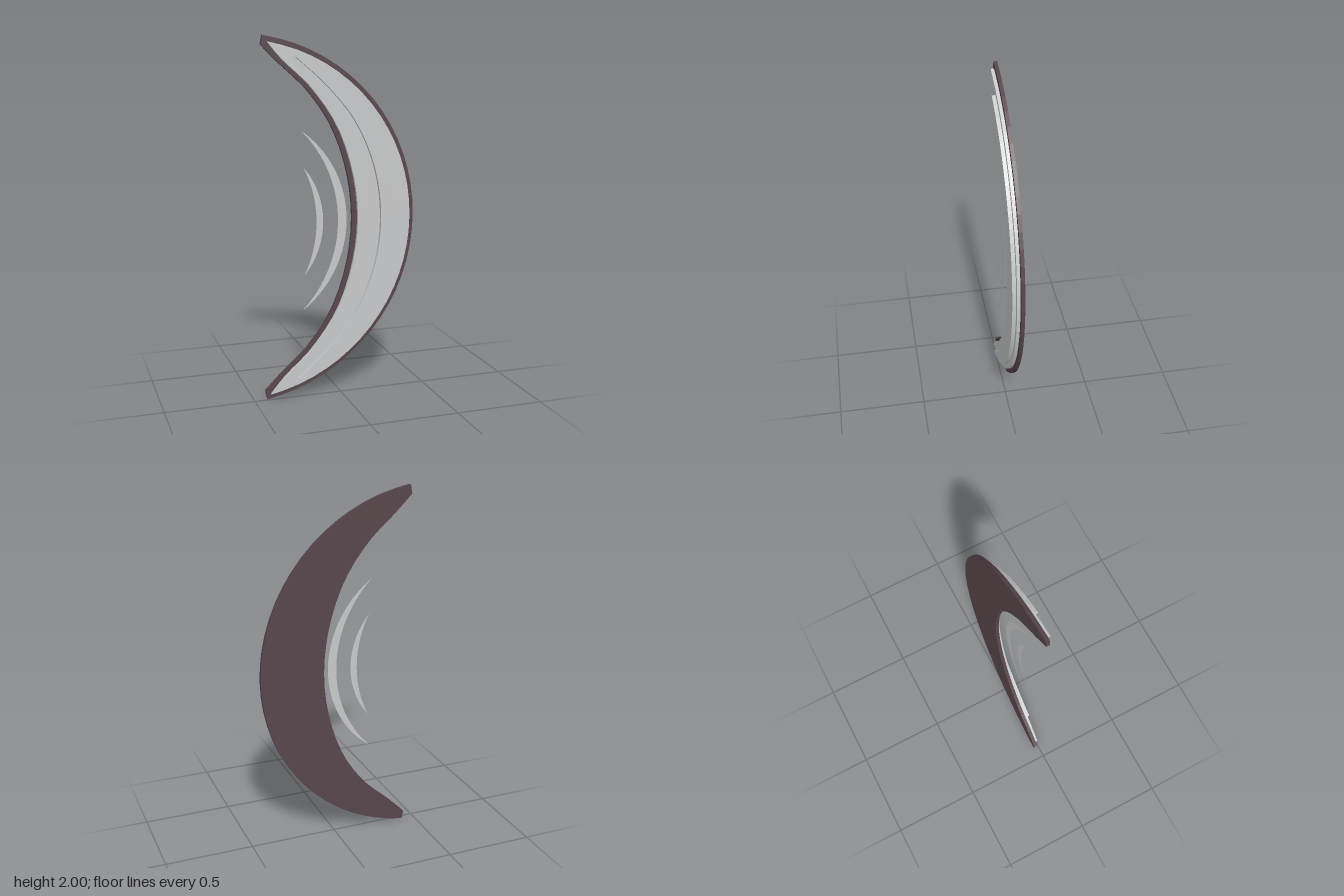
import * as THREE from 'three';

// Outline of a crescent symmetric about y = 1.
// outer and inner list [x, height above the middle] from the tip to the middle.
function crescent(outer, inner, n = 32) {
  const mirrored = (half) => {
    const up = half.map(([x, h]) => new THREE.Vector2(x, 1 + h));
    const down = half.slice(0, -1).reverse().map(([x, h]) => new THREE.Vector2(x, 1 - h));
    return new THREE.SplineCurve([...up, ...down]).getPoints(n);
  };
  const a = mirrored(outer);
  const b = mirrored(inner).reverse();
  const pts = [...a, ...b].filter((p, i, all) => p.distanceTo(all[(i + 1) % all.length]) > 1e-4);
  return new THREE.Shape(pts.reverse());
}

// Half arc of a circle centred on (cx, 1), from the tip x to the middle.
function arc(cx, r, tipX, n = 10) {
  const start = Math.acos((tipX - cx) / r);
  return Array.from({ length: n + 1 }, (_, i) => {
    const t = start * (1 - i / n);
    return [cx + r * Math.cos(t), r * Math.sin(t)];
  });
}

// Half arc through a tip and a middle point.
function arcThrough(tipX, tipH, midX) {
  const d = midX - tipX;
  const r = (d * d + tipH * tipH) / (2 * d);
  return arc(midX - r, r, tipX);
}

export function createModel() {
  const group = new THREE.Group();
  const rim = new THREE.MeshStandardMaterial({ color: 0x57464b });
  rim.name = 'dark rim';
  const silver = new THREE.MeshStandardMaterial({ color: 0xc8c9ca, side: THREE.DoubleSide });
  silver.name = 'silver';

  const add = (name, geometry, material, z) => {
    const mesh = new THREE.Mesh(geometry, material);
    mesh.name = name;
    mesh.position.z = z;
    group.add(mesh);
  };
  const slab = (shape, depth) => new THREE.ExtrudeGeometry(shape, { depth, bevelEnabled: false });

  // Dark backing plate with blunt tips
  const backing = crescent(
    arc(-0.578, 1.01, -0.425),
    [[-0.435, 0.95], [-0.34, 0.855], [-0.18, 0.705], [-0.045, 0.505], [0.04, 0.26], [0.07, 0]]);
  add('backingPlate', slab(backing, 0.02), rim, -0.03);

  // Light blade
  const blade = crescent(
    arc(-0.576, 0.981, -0.405),
    [[-0.405, 0.966], [-0.32, 0.868], [-0.165, 0.722], [-0.02, 0.513], [0.068, 0.26], [0.099, 0]]);
  add('blade', slab(blade, 0.018), silver, -0.01);

  // Raised inner crescent
  const ridge = crescent(
    arc(-0.576, 0.951, -0.25),
    [[-0.255, 0.885], [-0.08, 0.73], [0.08, 0.535], [0.19, 0.28], [0.228, 0]]);
  add('raisedRidge', slab(ridge, 0.02), silver, 0.008);

  // Thin floating slivers
  const slivers = [
    ['largeSliver', -0.23, 0.5, 0.03, -0.02],
    ['smallSliver', -0.215, 0.3, -0.105, -0.143],
  ];
  for (const [name, x, h, outerX, innerX] of slivers) {
    const shape = crescent(arcThrough(x, h, outerX), arcThrough(x, h, innerX));
    add(name, new THREE.ShapeGeometry(shape), silver, 0.015);
  }
  return group;
}
